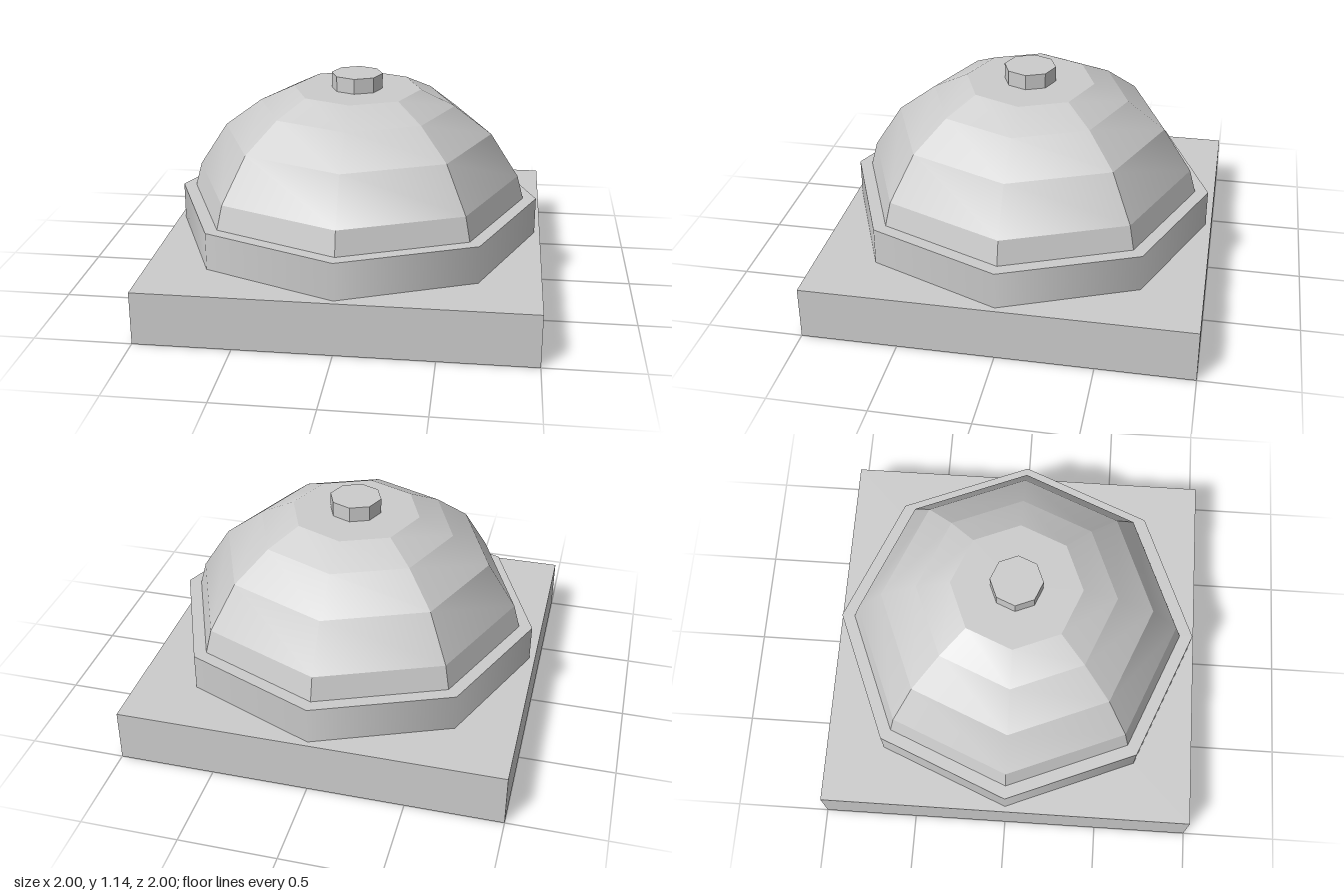
import * as THREE from 'three';

export function createModel() {
  const group = new THREE.Group();
  const grey = new THREE.MeshStandardMaterial({ color: 0xcccccc, side: THREE.DoubleSide });
  grey.name = 'light grey';

  const add = (parent, name, geometry, y = 0) => {
    const mesh = new THREE.Mesh(geometry, grey);
    mesh.name = name;
    mesh.position.y = y;
    parent.add(mesh);
  };

  // give every facet its own normal
  const faceted = (geometry) => {
    const flat = geometry.toNonIndexed();
    flat.computeVertexNormals();
    return flat;
  };

  // square plinth, hollow and open underneath (fourth box side left out)
  const plinth = new THREE.BoxGeometry(2, 0.278, 2);
  plinth.setIndex([...plinth.index.array].filter((_, i) => i < 18 || i >= 24));
  plinth.clearGroups();
  add(group, 'base', plinth, 0.139);

  // eight-sided collar with softened sides
  add(group, 'collar', new THREE.CylinderGeometry(0.97, 0.97, 0.197, 8), 0.3765);

  // eight-sided dome: four bent panels per band, creased at the diagonals
  const dome = new THREE.Group();
  dome.name = 'dome';
  group.add(dome);
  const profile = [[0.9, 0.475], [0.866, 0.6], [0.717, 0.832], [0.52, 0.98], [0.34, 1.065]]
    .map(([r, y]) => new THREE.Vector2(r, y));
  for (let band = 0; band < profile.length - 1; band++) {
    for (let k = 0; k < 4; k++) {
      const panel = new THREE.LatheGeometry(
        profile.slice(band, band + 2), 2, (k - 0.5) * Math.PI / 2, Math.PI / 2);
      panel.computeVertexNormals();
      add(dome, 'domePanel', band === 0 ? faceted(panel) : panel);
    }
  }

  // flat lid closing the dome
  add(dome, 'domeLid', new THREE.CircleGeometry(0.34, 8).rotateX(-Math.PI / 2), 1.065);

  // small knob on top
  add(group, 'knob', faceted(new THREE.CylinderGeometry(0.136, 0.136, 0.08, 8)), 1.105);

  return group;
}
